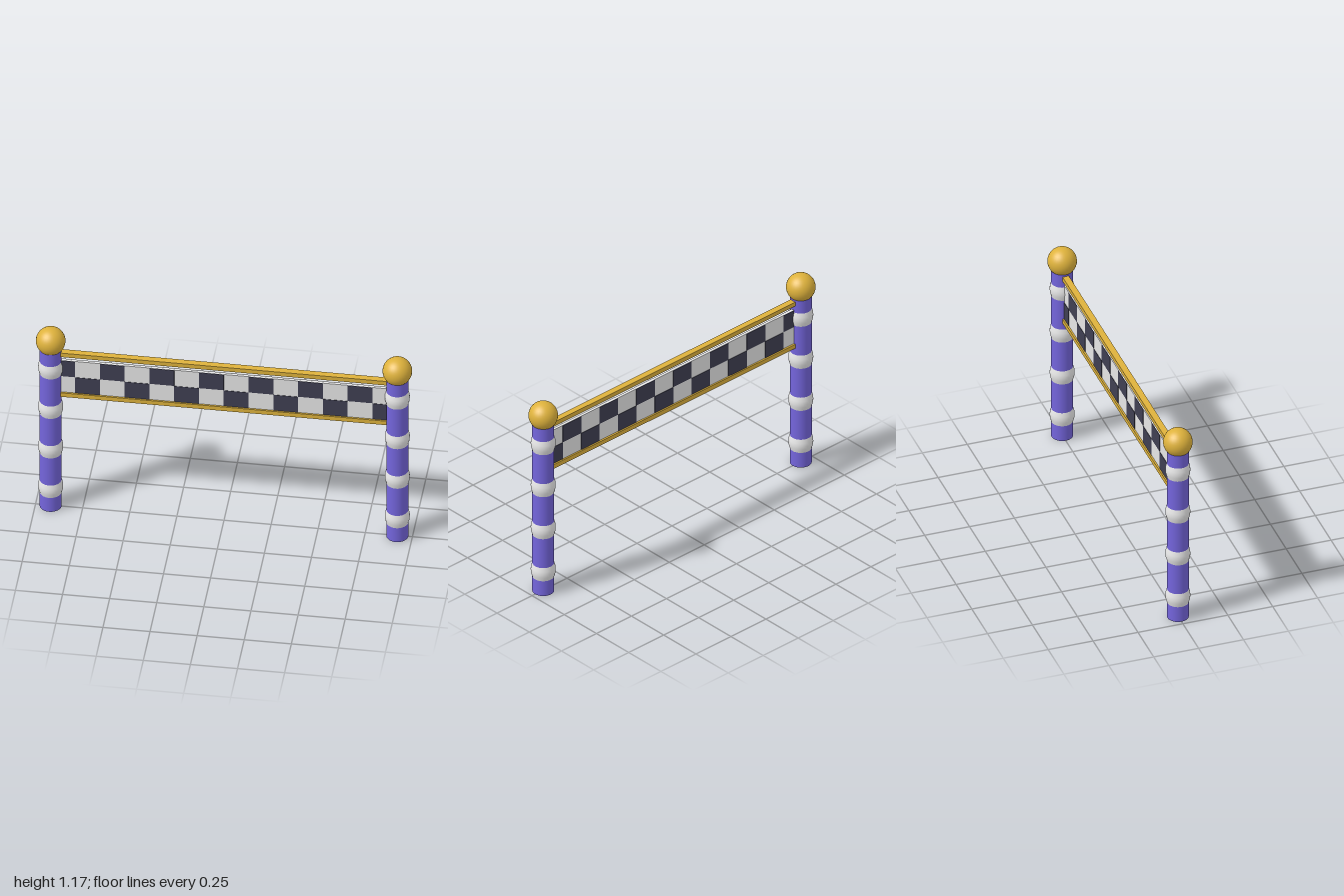
import * as THREE from 'three';

const mat = (name, color, side = THREE.FrontSide) => {
  const m = new THREE.MeshStandardMaterial({ color, side });
  m.name = name;
  return m;
};

export function createModel() {
  const purple = mat('purple', 0x7465dc);
  const white = mat('white', 0xe8e8e8);
  const gold = mat('gold', 0xdeb23c);
  const dark = mat('dark slate', 0x3f3f52);

  const root = new THREE.Group();
  root.name = 'finishGate';
  const add = (parent, name, geometry, material, x, y, z) => {
    const mesh = new THREE.Mesh(geometry, material);
    mesh.name = name;
    mesh.position.set(x, y, z);
    parent.add(mesh);
  };

  const postX = 0.92;
  const postR = 0.058;

  // Posts with bulging bands and ball finials
  const postGeo = new THREE.CylinderGeometry(postR, postR, 1.05, 32);
  const ballGeo = new THREE.SphereGeometry(0.078, 32, 20);
  const bandGeo = new THREE.LatheGeometry([
    [postR, -0.041], [0.0645, -0.018], [0.066, 0], [0.0645, 0.018], [postR, 0.041],
  ].map(([r, y]) => new THREE.Vector2(r, y)), 32);

  for (const side of [-1, 1]) {
    const post = new THREE.Group();
    post.name = side > 0 ? 'leftPost' : 'rightPost';
    post.position.x = side * postX;
    add(post, 'pole', postGeo, purple, 0, 0.525, 0);
    add(post, 'ball', ballGeo, gold, 0, 1.093, 0);
    for (let i = 0; i < 4; i++) add(post, 'band', bandGeo, white, 0, 0.133 + i * 0.2627, 0);
    root.add(post);
  }

  // Rails above and below the banner
  const railGeo = new THREE.BoxGeometry(postX * 2, 0.026, 0.035);
  add(root, 'topRail', railGeo, gold, 0, 1.017, 0);
  add(root, 'bottomRail', railGeo, gold, 0, 0.753, 0);

  // Chequered banner: white panel with dark squares on both faces
  const banner = new THREE.Group();
  banner.name = 'banner';
  root.add(banner);
  const bottom = 0.766, top = 0.975, depth = 0.016, columns = 14;
  const tileW = (postX * 2) / columns;
  const tileH = (top - bottom) / 2;
  add(banner, 'panel', new THREE.BoxGeometry(postX * 2, top - bottom, depth), white, 0, (top + bottom) / 2, 0);
  const tileGeo = new THREE.BoxGeometry(tileW, tileH - 0.002, 0.002);
  for (let i = 0; i < columns; i++) {
    const row = i % 2 === 0 ? 1 : 0;
    for (const face of [-1, 1]) {
      add(banner, 'darkSquare', tileGeo, dark,
        (i + 0.5) * tileW - postX, bottom + (row + 0.5) * tileH, face * (depth / 2 + 0.001));
    }
  }
  return root;
}
